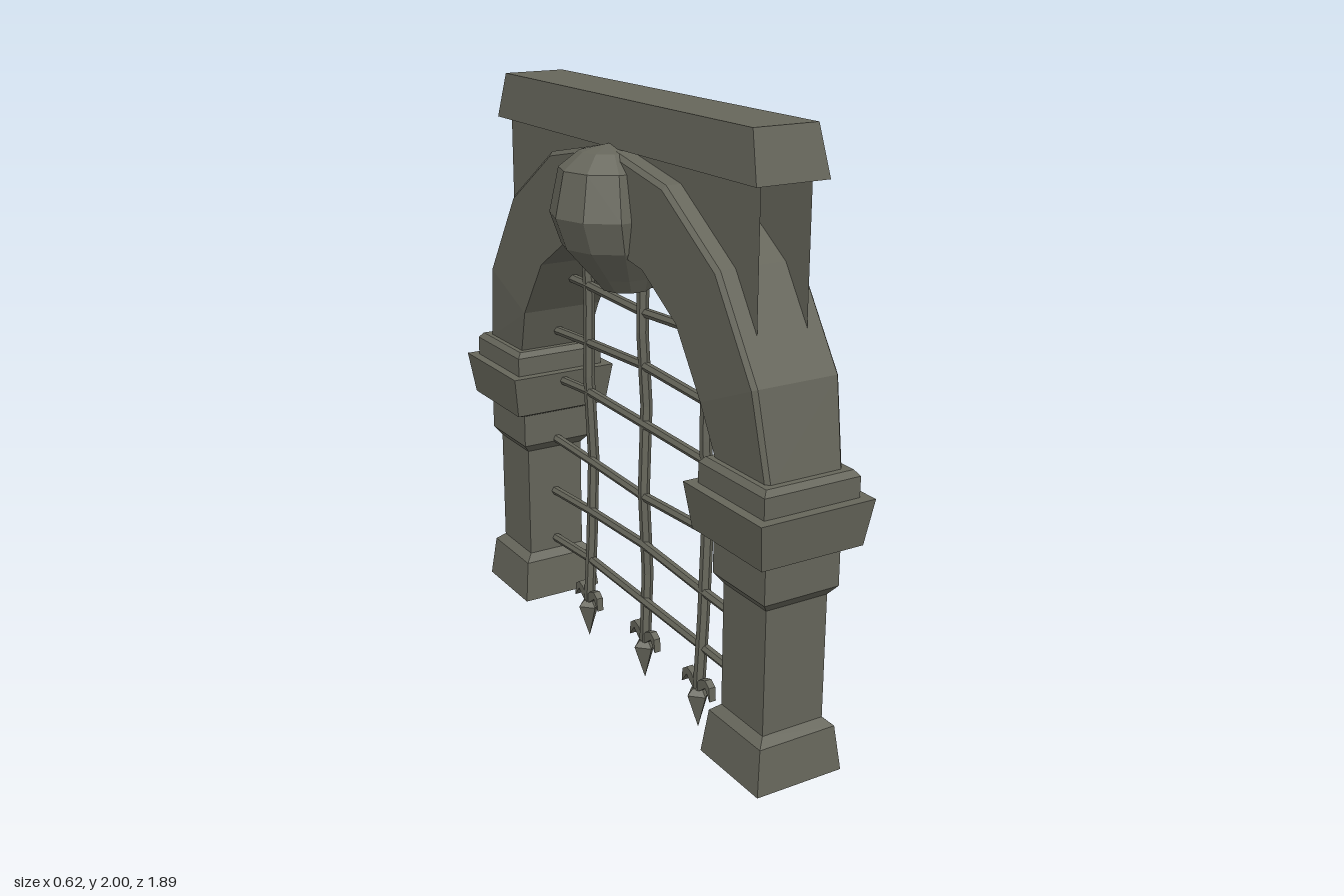
import * as THREE from 'three';

const stone = new THREE.MeshStandardMaterial({ color: 0x66665b, flatShading: true, side: THREE.DoubleSide });
stone.name = 'weathered stone';

function part(name, geometry, parent) {
  const g = geometry.index ? geometry.toNonIndexed() : geometry;
  g.computeVertexNormals();
  const mesh = new THREE.Mesh(g, stone);
  mesh.name = name;
  parent.add(mesh);
  return mesh;
}

// Skin a row of equal cross-sections and close both ends
function loft(rings) {
  const n = rings[0].length, last = rings.length - 1, index = [];
  for (let i = 0; i < last; i++) {
    for (let j = 0; j < n; j++) {
      const a = i * n + j, b = i * n + (j + 1) % n;
      index.push(a, b, b + n, a, b + n, a + n);
    }
  }
  for (let j = 1; j < n - 1; j++) {
    index.push(0, j + 1, j, last * n, last * n + j, last * n + j + 1);
  }
  const g = new THREE.BufferGeometry();
  g.setAttribute('position', new THREE.Float32BufferAttribute(rings.flat(2), 3));
  g.setIndex(index);
  return g;
}

// Turn a half profile in (z, y) into a full symmetric one
const mirrored = (half) => [...half, ...half.slice(0, -1).reverse().map(([z, y]) => [-z, y])];

// Square pillar from a profile of [half width, height], open underneath
function pillarGeometry() {
  const profile = [
    [0.152, 0.08], [0.135, 0.225], [0.108, 0.25], [0.108, 0.655], [0.131, 0.685], [0.131, 0.8],
    [0.176, 0.82], [0.197, 0.965], [0.165, 0.965], [0.165, 1.03], [0.15, 1.048], [0, 1.048],
  ];
  return new THREE.LatheGeometry(profile.map(([h, y]) => new THREE.Vector2(h * Math.SQRT2, y)), 4, Math.PI / 4);
}

// Arch ring with lightly chamfered outer edges
function archGeometry() {
  const outer = mirrored([[0.878, 1.04], [0.825, 1.31], [0.635, 1.6], [0.35, 1.79], [0, 1.86]]);
  const inner = mirrored([[0.622, 1.04], [0.56, 1.2], [0.425, 1.4], [0.235, 1.52], [0, 1.56]]);
  return loft(outer.map(([oz, oy], i) => {
    const [iz, iy] = inner[i];
    const w = i === 0 || i === outer.length - 1 ? 0.132 : 0.147;
    const c = 0.012, ez = oz + (iz - oz) * 0.05, ey = oy + (iy - oy) * 0.05;
    return [[c - w, oy, oz], [w - c, oy, oz], [w, ey, ez], [w, iy, iz], [-w, iy, iz], [-w, ey, ez]];
  }));
}

// Thin wall sheet filling the corners above the arch
function wallGeometry() {
  const edge = mirrored([[0.745, 1.39], [0.62, 1.57], [0.35, 1.76], [0, 1.83]]);
  const shape = new THREE.Shape([[0.745, 1.86], ...edge, [-0.745, 1.86]].map(([z, y]) => new THREE.Vector2(z, y)));
  return new THREE.ShapeGeometry(shape).rotateY(Math.PI / 2);
}

// Faceted hanging boss whose axis leans into the arch towards the bottom
function bossGeometry() {
  const profile = [[0, 1.405], [0.08, 1.405], [0.105, 1.45], [0.165, 1.55], [0.185, 1.65], [0.155, 1.79], [0.09, 1.842], [0, 1.862]];
  const g = new THREE.LatheGeometry(profile.map(([r, y]) => new THREE.Vector2(r, y)), 10, Math.PI / 10);
  const p = g.attributes.position;
  for (let i = 0; i < p.count; i++) {
    const t = THREE.MathUtils.clamp((p.getY(i) - 1.405) / 0.2, 0, 1);
    p.setX(i, p.getX(i) + 0.065 + 0.06 * t);
  }
  return g;
}

const SIDES = [0, 1, 2, 3, 4, 5].map((k) => k * Math.PI / 3);

function uprightBar(z, sway, top) {
  const ys = [0.12, 0.4, 0.7, 1.0, 1.25, top];
  return loft(ys.map((y, i) => SIDES.map((a) => [sway[i] + 0.02 * Math.sin(a), y, z + 0.02 * Math.cos(a)])));
}

function crossBar(end, heights) {
  const zs = [-end, -0.37, 0, 0.37, end];
  return loft(zs.map((z, i) => SIDES.map((a) => [0.016 * Math.cos(a), heights[i] + 0.016 * Math.sin(a), z])));
}

// Barbed plate with two down-curved hooks
function hooksGeometry() {
  const half = [[0, 0.135], [0.03, 0.155], [0.055, 0.175], [0.083, 0.138], [0.079, 0.185], [0.055, 0.202], [0.025, 0.192], [0, 0.165]];
  const other = half.slice(1, -1).reverse().map(([z, y]) => [-z, y]);
  const shape = new THREE.Shape([...half, ...other].map(([z, y]) => new THREE.Vector2(z, y)));
  return new THREE.ExtrudeGeometry(shape, { depth: 0.024, bevelEnabled: false }).translate(0, 0, -0.012).rotateY(Math.PI / 2);
}

export function createModel() {
  const model = new THREE.Group();
  model.name = 'gateway';

  // Masonry
  for (const s of [1, -1]) {
    part(s > 0 ? 'frontPillar' : 'backPillar', pillarGeometry(), model).position.z = s * 0.747;
    part(s > 0 ? 'leftWall' : 'rightWall', wallGeometry(), model).position.x = s * 0.085;
    part(s > 0 ? 'leftBoss' : 'rightBoss', bossGeometry(), model).rotation.y = s > 0 ? 0 : Math.PI;
  }
  part('arch', archGeometry(), model);

  // Tapered coping on top
  const slab = (w, d, y) => [[-w, y, d], [w, y, d], [w, y, -d], [-w, y, -d]];
  part('coping', loft([slab(0.122, 0.777, 1.85), slab(0.108, 0.735, 2)]), model);

  // Portcullis
  const gate = new THREE.Group();
  gate.name = 'portcullis';
  model.add(gate);
  const uprights = [
    [0.37, [-0.015, 0, 0.01, 0, 0, 0], 1.46],
    [0, [0.005, 0.015, 0, 0.01, -0.005, 0], 1.58],
    [-0.37, [-0.01, 0.005, 0.015, 0, 0.005, 0], 1.46],
  ];
  for (const [z, sway, top] of uprights) {
    part('uprightBar', uprightBar(z, sway, top), gate);
    const head = new THREE.Group();
    head.name = 'spearhead';
    head.position.set(sway[0], 0, z);
    part('point', new THREE.ConeGeometry(0.042, 0.125, 4).rotateX(Math.PI).translate(0, 0.0675, 0), head);
    part('collar', new THREE.CylinderGeometry(0.022, 0.042, 0.02, 4).translate(0, 0.14, 0), head);
    part('hooks', hooksGeometry(), head);
    gate.add(head);
  }

  // Cross bars: half length, then heights from back to front
  const rows = [
    [0.65, [0.29, 0.308, 0.3, 0.292, 0.285]],
    [0.65, [0.48, 0.497, 0.508, 0.488, 0.477]],
    [0.65, [0.693, 0.69, 0.682, 0.7, 0.697]],
    [0.62, [0.928, 0.945, 0.938, 0.93, 0.925]],
    [0.61, [1.108, 1.122, 1.138, 1.122, 1.112]],
    [0.49, [1.325, 1.325, 1.315, 1.335, 1.34]],
  ];
  for (const [end, heights] of rows) part('crossBar', crossBar(end, heights), gate);

  return model;
}
